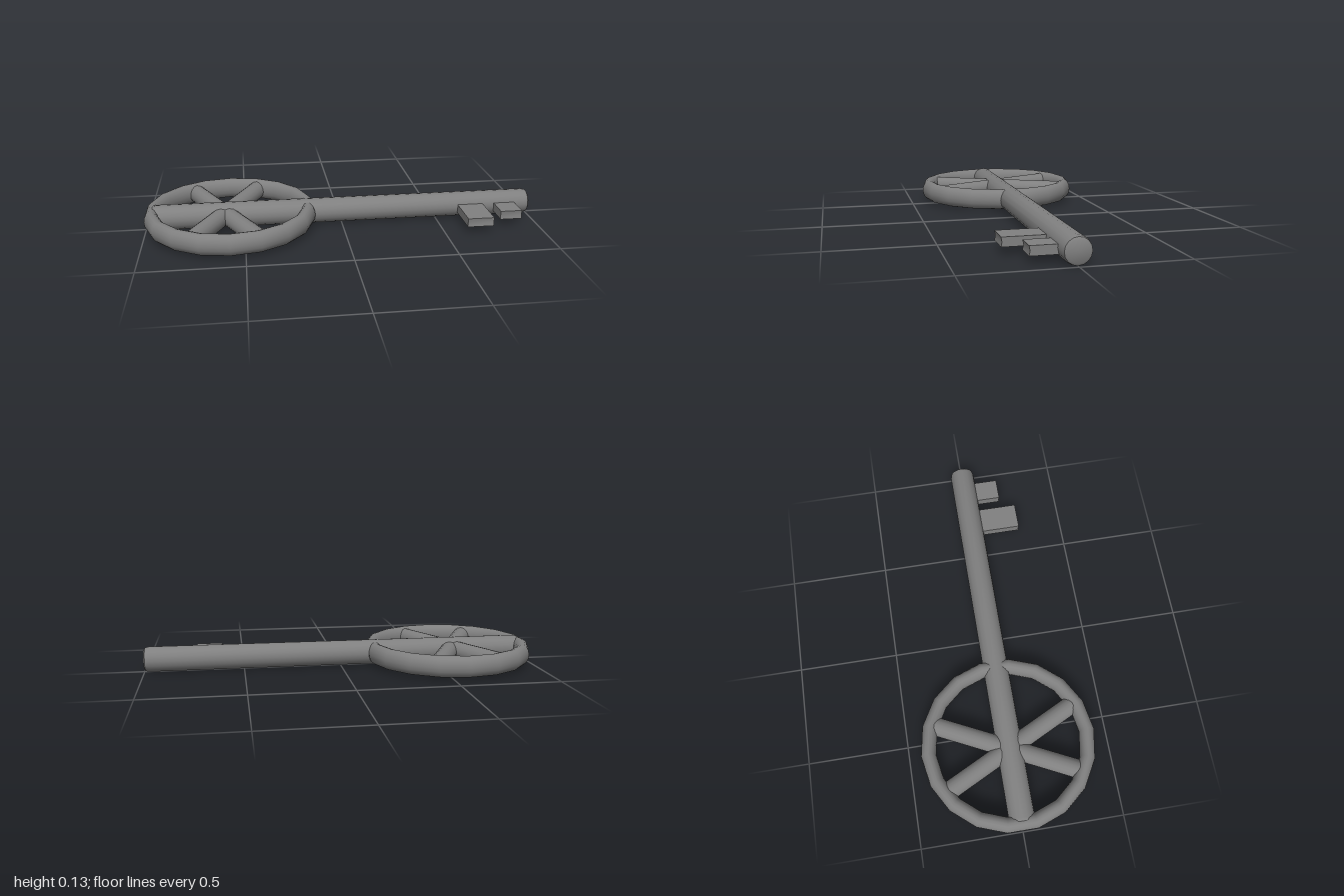
import * as THREE from 'three';
import { toCreasedNormals } from 'three/addons/utils/BufferGeometryUtils.js';

const MID = 0.064; // height of the key's centre plane
const material = new THREE.MeshStandardMaterial({ color: 0x808080 });

function part(name, geometry, x = 0, y = MID, z = 0) {
  const mesh = new THREE.Mesh(toCreasedNormals(geometry, 0.7), material);
  mesh.name = name;
  mesh.position.set(x, y, z);
  return mesh;
}

// Flat tooth with a slightly hollow tip
function bit(name, x0, x1, z1) {
  const h = 0.022;
  const profile = new THREE.Shape([
    [0, -h], [z1, -h], [z1 - 0.004, 0], [z1, h], [0, h],
  ].map(([z, y]) => new THREE.Vector2(z, y)));
  const geometry = new THREE.ExtrudeGeometry(profile, { depth: x1 - x0, bevelEnabled: false });
  geometry.rotateY(-Math.PI / 2); // profile x -> z, depth -> -x
  return part(name, geometry, x1, 0.057);
}

export function createModel() {
  const key = new THREE.Group();
  key.name = 'key';

  // Round shaft with softened ends, lying along x
  const profile = [
    [0, -0.965], [0.05, -0.965], [0.06, -0.958], [0.064, -0.943],
    [0.064, 0.975], [0.06, 0.993], [0.05, 1], [0, 1],
  ].map(([r, x]) => new THREE.Vector2(r, x));
  const shaft = new THREE.LatheGeometry(profile, 16);
  shaft.rotateZ(-Math.PI / 2);
  key.add(part('shaft', shaft, 0, MID, 0.002));

  // Eighteen-sided ring handle, taller than it is thick, corners at front and back
  const ring = new THREE.TorusGeometry(0.398, 0.038, 16, 18);
  ring.rotateX(Math.PI / 2);
  ring.rotateY(Math.PI / 2);
  ring.scale(1, 1.42, 1);
  key.add(part('ringHandle', ring, -0.57, 0.066, -0.002));

  // Two crossing bars form the four slanted spokes, ending inside the ring
  for (const side of [-1, 1]) {
    const spoke = new THREE.CylinderGeometry(0.047, 0.047, 0.768, 16);
    spoke.translate(0, side * 0.011, 0);
    spoke.rotateX(Math.PI / 2);
    spoke.rotateY(side * 0.455);
    key.add(part(side < 0 ? 'spokeBarA' : 'spokeBarB', spoke, -0.597));
  }

  // Teeth near the tip, on the front side
  key.add(bit('largeBit', 0.61, 0.744, 0.262));
  key.add(bit('smallBit', 0.805, 0.916, 0.185));

  return key;
}
